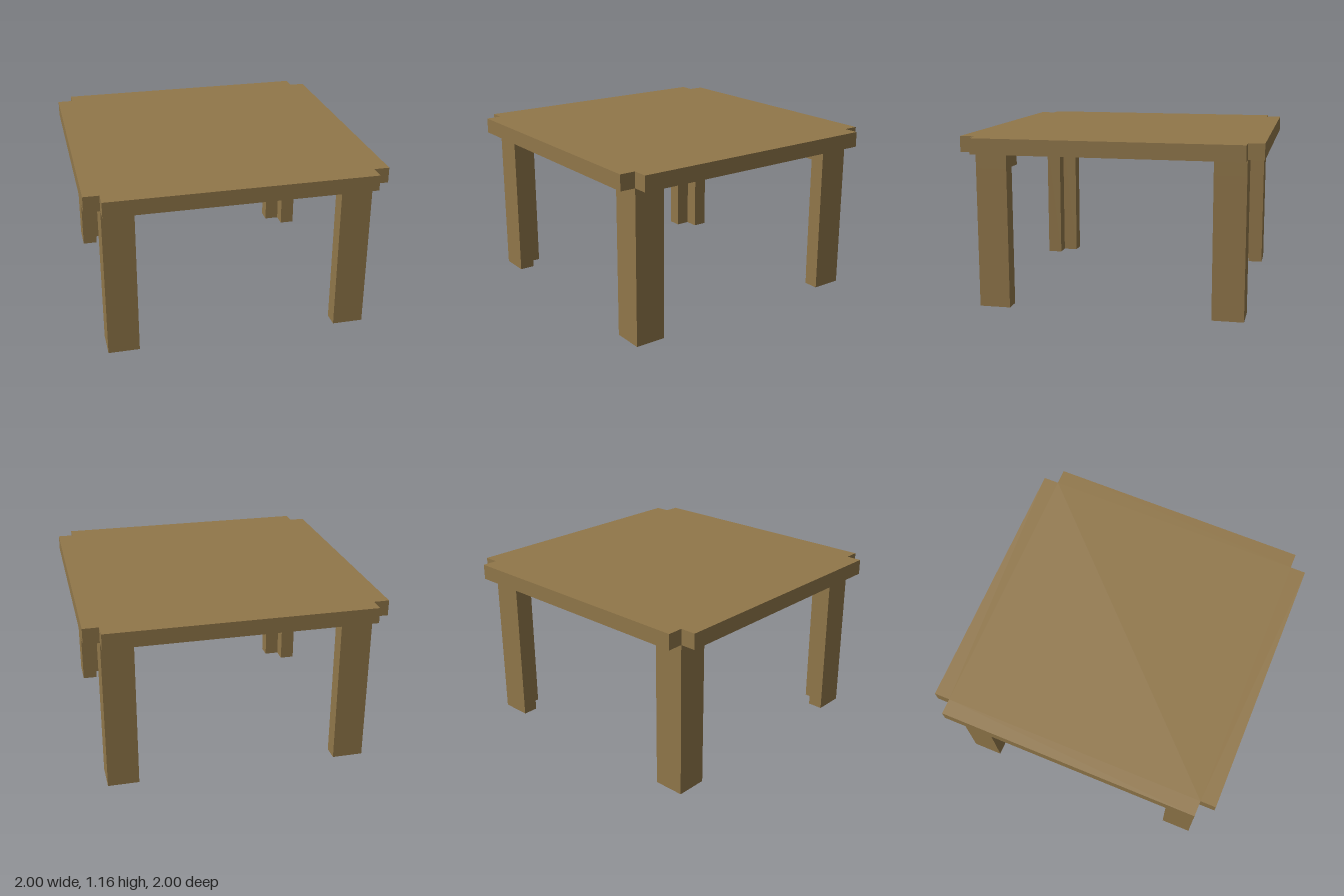
import * as THREE from 'three';

const U = 2 / 19; // plank module: the table is 19 modules wide and 11 high

function extrudeUp(points, height, y) {
  // Plan outline in (x, z), extruded upwards from y
  const shape = new THREE.Shape(points.map(([x, z]) => new THREE.Vector2(x * U, -z * U)));
  const geo = new THREE.ExtrudeGeometry(shape, { depth: height * U, bevelEnabled: false });
  return geo.rotateX(-Math.PI / 2).translate(0, y * U, 0);
}

export function createModel() {
  const table = new THREE.Group();
  table.name = 'table';
  const wood = new THREE.MeshStandardMaterial({ color: 0x91774a });
  wood.name = 'oak wood';

  const add = (parent, name, geo) => {
    const mesh = new THREE.Mesh(geo, wood);
    mesh.name = name;
    parent.add(mesh);
  };

  // Square top with a notch cut from each corner
  const a = 9.5, b = 8.5;
  add(table, 'tableTop', extrudeUp([
    [-b, -a], [b, -a], [b, -b], [a, -b], [a, b], [b, b],
    [b, a], [-b, a], [-b, b], [-a, b], [-a, -b], [-b, -b],
  ], 1, 10));

  // Four legs: L-shaped posts, hollow on the inner corner, under a square cap
  const names = ['frontLeftLeg', 'backLeftLeg', 'backRightLeg', 'frontRightLeg'];
  names.forEach((name, i) => {
    const leg = new THREE.Group();
    leg.name = name;
    add(leg, 'post', extrudeUp([
      [8.5, 8.5], [8.5, 6.5], [7.5, 6.5], [7.5, 7.5], [6.5, 7.5], [6.5, 8.5],
    ], 9, 0));
    add(leg, 'legCap', extrudeUp([[8.5, 8.5], [8.5, 6.5], [6.5, 6.5], [6.5, 8.5]], 1, 9));
    leg.rotation.y = i * Math.PI / 2;
    table.add(leg);
  });

  return table;
}
